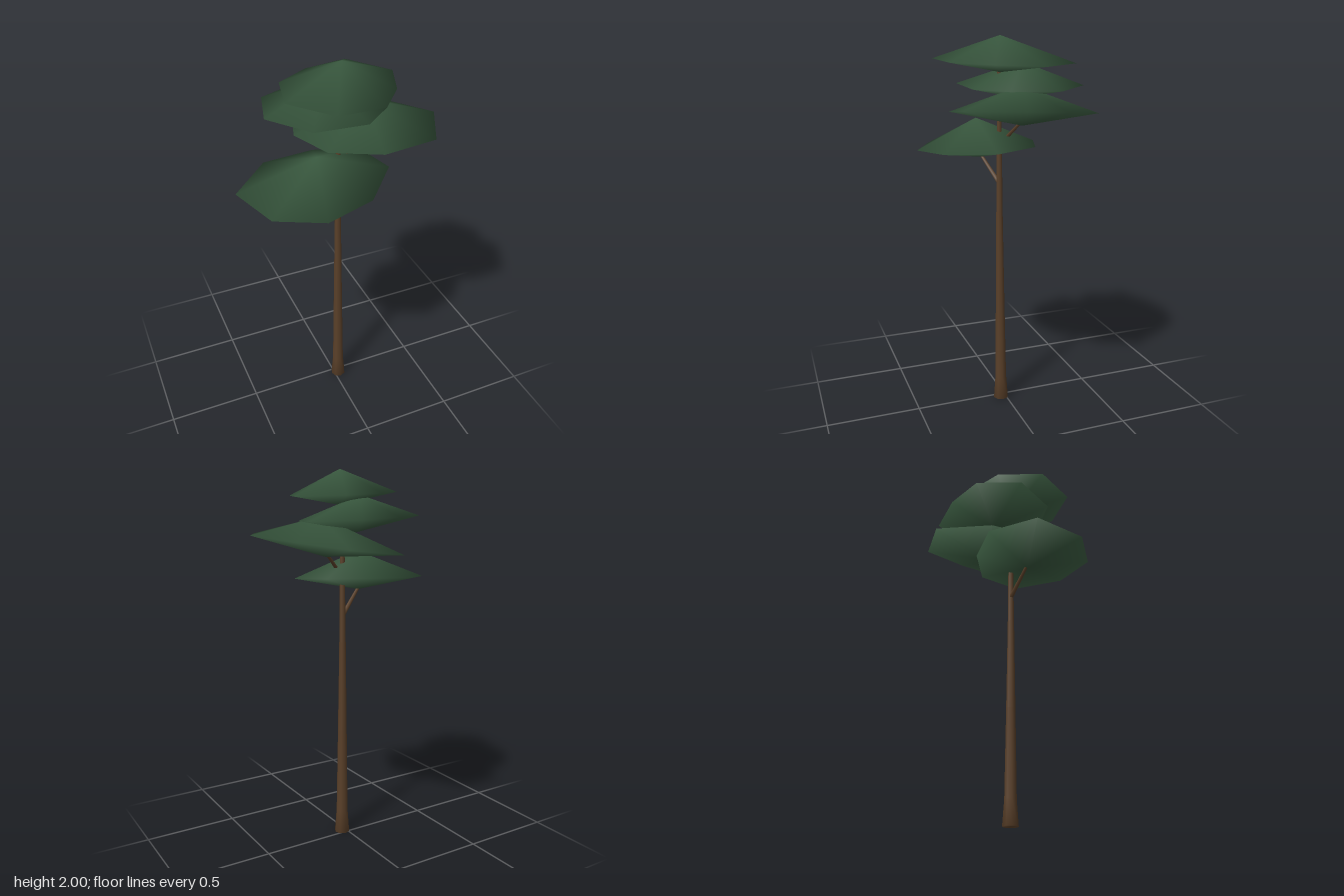
import * as THREE from 'three';

const foliage = new THREE.MeshStandardMaterial({ color: 0x3a5a40 });
foliage.name = 'foliage green';
const bark = new THREE.MeshStandardMaterial({ color: 0x5a4029 });
bark.name = 'bark brown';

// Flattened leaf pad: a tilted eight-sided rim between an upper and a lower peak.
// rim holds [x, z] pairs, clockwise seen from above; slope is the rise per unit of x and z.
function leafPad(name, { top, bottom, rimY, slope, rim }) {
  const n = rim.length;
  const points = rim.map(([x, z]) => [
    x, rimY + slope[0] * (x - top[0]) + slope[1] * (z - top[2]), z,
  ]);
  points.push(top, bottom);
  const index = [];
  for (let i = 0; i < n; i++) {
    const j = (i + 1) % n;
    index.push(n, j, i, n + 1, i, j);
  }
  const geo = new THREE.BufferGeometry();
  geo.setAttribute('position', new THREE.Float32BufferAttribute(points.flat(), 3));
  geo.setIndex(index);
  geo.computeVertexNormals();
  const mesh = new THREE.Mesh(geo, foliage);
  mesh.name = name;
  return mesh;
}

// Tapered limb between two points
function limb(name, from, to, r0, r1, sides) {
  const a = new THREE.Vector3(...from), b = new THREE.Vector3(...to);
  const dir = b.clone().sub(a);
  const mesh = new THREE.Mesh(new THREE.CylinderGeometry(r1, r0, dir.length(), sides), bark);
  mesh.position.copy(a).add(b).multiplyScalar(0.5);
  mesh.quaternion.setFromUnitVectors(new THREE.Vector3(0, 1, 0), dir.normalize());
  mesh.name = name;
  return mesh;
}

export function createModel() {
  const tree = new THREE.Group();
  tree.name = 'tree';

  // Trunk: flared foot, slender taper and a slight lean
  const profile = [[0, 0], [0.042, 0], [0.032, 0.13], [0.025, 0.6], [0.018, 1.1], [0.013, 1.55], [0.01, 1.86], [0, 1.86]];
  const trunkGeo = new THREE.LatheGeometry(profile.map(([r, y]) => new THREE.Vector2(r, y)), 8);
  const pos = trunkGeo.attributes.position;
  for (let i = 0; i < pos.count; i++) {
    pos.setX(i, pos.getX(i) + 0.024 - 0.008 * Math.min(1, pos.getY(i)));
    pos.setZ(i, pos.getZ(i) + 0.026 + 0.004 * Math.min(1, pos.getY(i)));
  }
  const trunk = new THREE.Mesh(trunkGeo, bark);
  trunk.name = 'trunk';
  tree.add(trunk);

  // Branches carrying the two side pads
  tree.add(limb('rightBranch', [0.01, 1.25, 0.03], [-0.13, 1.39, 0.09], 0.012, 0.008, 6));
  tree.add(limb('leftBranch', [0.016, 1.45, 0.03], [0.16, 1.59, -0.04], 0.011, 0.007, 6));

  // Leaf pads, top to bottom
  tree.add(leafPad('topLeafPad', {
    top: [0.03, 2, 0.03], bottom: [0.03, 1.82, 0.03], rimY: 1.876, slope: [-0.045, 0.01],
    rim: [[0.2, -0.31], [0.36, -0.09], [0.265, 0.14], [0.12, 0.32],
      [-0.125, 0.34], [-0.29, 0.14], [-0.23, -0.105], [-0.045, -0.24]],
  }));
  tree.add(leafPad('upperLeafPad', {
    top: [-0.01, 1.87, -0.1], bottom: [0, 1.685, -0.08], rimY: 1.755, slope: [-0.04, -0.02],
    rim: [[0.155, -0.375], [0.33, -0.18], [0.26, 0.06], [0.1, 0.2],
      [-0.18, 0.2], [-0.345, 0], [-0.28, -0.235], [-0.085, -0.335]],
  }));
  tree.add(leafPad('leftLeafPad', {
    top: [0.18, 1.765, -0.03], bottom: [0.16, 1.565, -0.04], rimY: 1.633, slope: [0.11, 0.05],
    rim: [[-0.06, -0.415], [0.245, -0.42], [0.405, -0.18], [0.52, 0.07],
      [0.38, 0.335], [0.12, 0.325], [-0.09, 0.15], [-0.16, -0.12]],
  }));
  tree.add(leafPad('rightLeafPad', {
    top: [-0.13, 1.578, 0.11], bottom: [-0.12, 1.37, 0.09], rimY: 1.433, slope: [0.035, -0.07],
    rim: [[-0.31, -0.17], [-0.04, -0.18], [0.19, -0.1], [0.255, 0.12],
      [0.06, 0.34], [-0.2, 0.415], [-0.43, 0.3], [-0.52, 0.035]],
  }));

  return tree;
}
